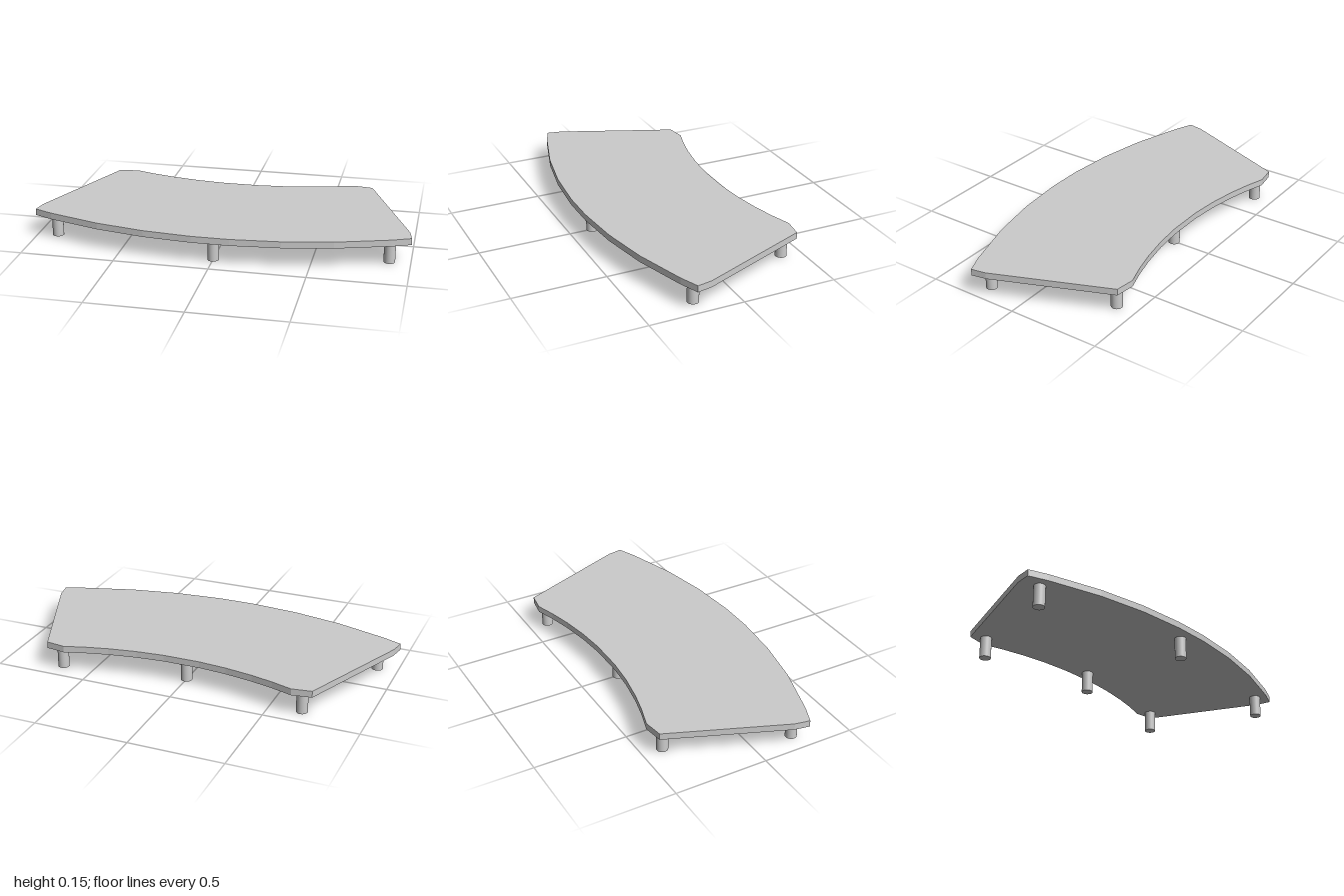
import * as THREE from 'three';

const LEG_HEIGHT = 0.115;
const TOP_THICKNESS = 0.035;
const LEG_RADIUS = 0.03;

// Depth of a shallow arc at x, measured from its middle
const sag = (x, radius) => radius - Math.sqrt(radius * radius - x * x);

export function createModel() {
  const group = new THREE.Group();
  const material = new THREE.MeshStandardMaterial({ color: 0xcccccc });
  const flat = new THREE.MeshStandardMaterial({ color: 0xcccccc, flatShading: true });

  // Right half of the curved top's outline as [x, z], front to back
  const half = [
    ...[0.1, 0.36, 0.62, 0.9].map(x => [x, 0.452 - sag(x, 2.6)]),
    [1, 0.25], [0.985, 0.17],
    [0.735, -0.44],
    ...[0.63, 0.52, 0.4, 0.25, 0.1].map(x => [x, -0.35 - sag(x, 1.94)]),
  ];
  const mirrored = half.map(([x, z]) => [-x, z]).reverse();
  const outline = [...half, ...mirrored].map(([x, z]) => new THREE.Vector2(x, -z));

  // Slab top
  const topGeometry = new THREE.ExtrudeGeometry(new THREE.Shape(outline), {
    depth: TOP_THICKNESS, bevelEnabled: false,
  });
  topGeometry.rotateX(-Math.PI / 2);
  const top = new THREE.Mesh(topGeometry, flat);
  top.name = 'curvedTop';
  top.position.y = LEG_HEIGHT;
  group.add(top);

  // Six round legs: one at each corner, one mid-front, one mid-back
  const legGeometry = new THREE.CylinderGeometry(LEG_RADIUS, LEG_RADIUS, LEG_HEIGHT, 32);
  const addLeg = (name, x, z) => {
    const leg = new THREE.Mesh(legGeometry, material);
    leg.name = name;
    leg.position.set(x, LEG_HEIGHT / 2, z);
    group.add(leg);
  };
  addLeg('frontMiddleLeg', 0, 0.375);
  addLeg('backMiddleLeg', 0, -0.285);
  for (const [side, s] of [['Left', 1], ['Right', -1]]) {
    addLeg(`front${side}Leg`, s * 0.89, 0.22);
    addLeg(`back${side}Leg`, s * 0.67, -0.39);
  }

  return group;
}
